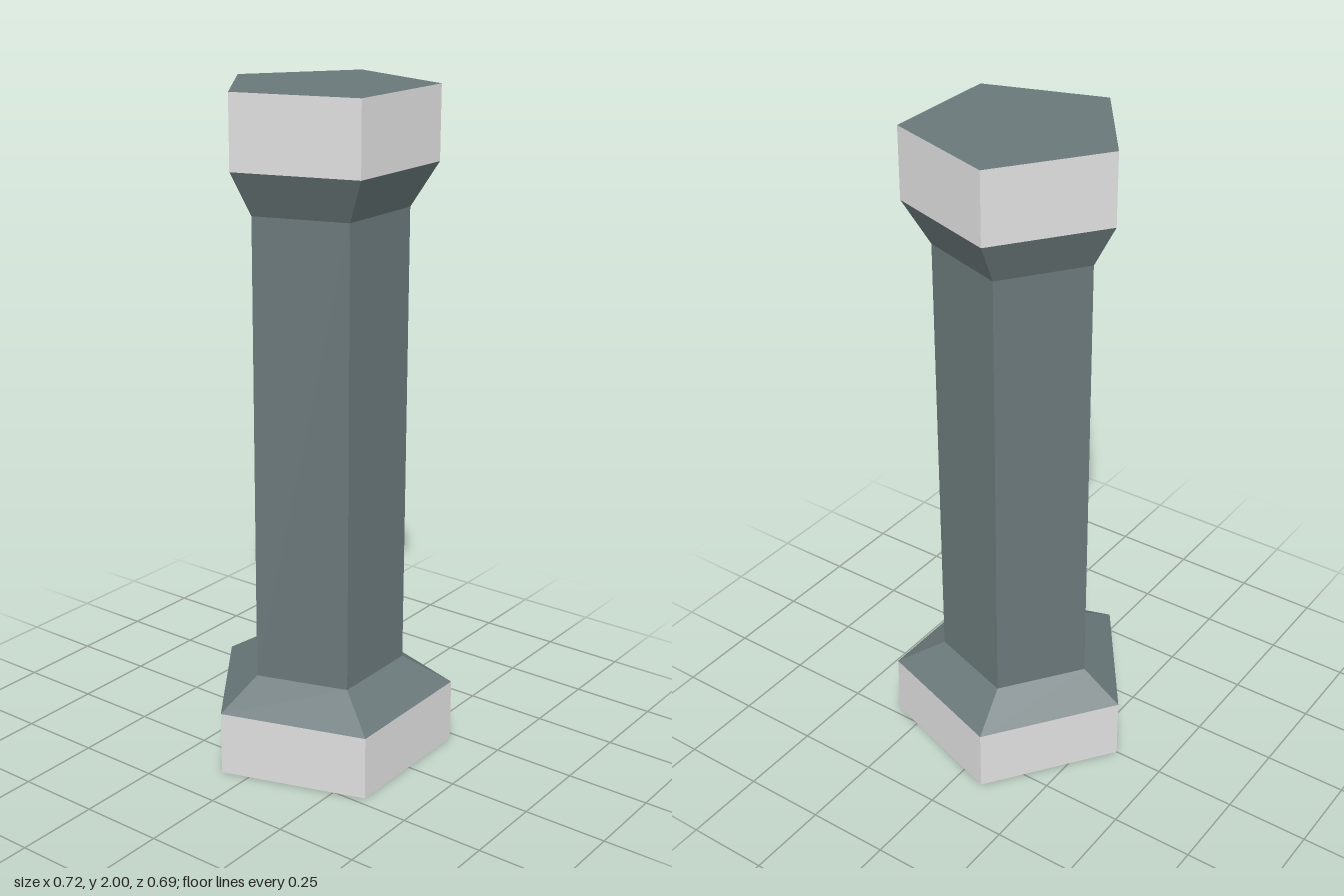
import * as THREE from 'three';

const SIDES = 5;
// The pentagon's centre sits slightly forward so that each ring is centred by its bounds.
const OFFSET = 0.0925;

function centreRing(geometry) {
  const p = geometry.attributes.position;
  for (let i = 0; i < p.count; i++) {
    p.setZ(i, p.getZ(i) + OFFSET * Math.hypot(p.getX(i), p.getZ(i)));
  }
  geometry.computeVertexNormals();
  return geometry;
}

export function createModel() {
  const group = new THREE.Group();
  const makeMaterial = (name, color) => {
    const m = new THREE.MeshStandardMaterial({ color, flatShading: true, side: THREE.DoubleSide });
    m.name = name;
    return m;
  };
  const pale = makeMaterial('paleGrey', 0xe0e0e0);
  const slate = makeMaterial('slateGrey', 0x6a787a);

  const add = (name, geometry, material) => {
    const mesh = new THREE.Mesh(centreRing(geometry), material);
    mesh.name = name;
    group.add(mesh);
    return mesh;
  };

  // Open five-sided bands, stacked from the hollow foot upward
  const bands = [
    ['baseBand', 0, 0.38, 0.194, 0.38, pale],
    ['baseSlope', 0.194, 0.38, 0.276, 0.24, slate],
    ['shaft', 0.276, 0.24, 1.66, 0.24, slate],
    ['capitalFlare', 1.66, 0.24, 1.788, 0.314, slate],
    ['capitalBand', 1.788, 0.314, 2, 0.314, pale],
  ];
  for (const [name, y0, r0, y1, r1, material] of bands) {
    const g = new THREE.CylinderGeometry(r1, r0, y1 - y0, SIDES, 1, true, Math.PI);
    add(name, g, material).position.y = (y0 + y1) / 2;
  }

  // Flat top; the bottom stays open
  const top = new THREE.CircleGeometry(0.314, SIDES, Math.PI / 2).rotateX(-Math.PI / 2);
  add('topFace', top, slate).position.y = 2;

  return group;
}
